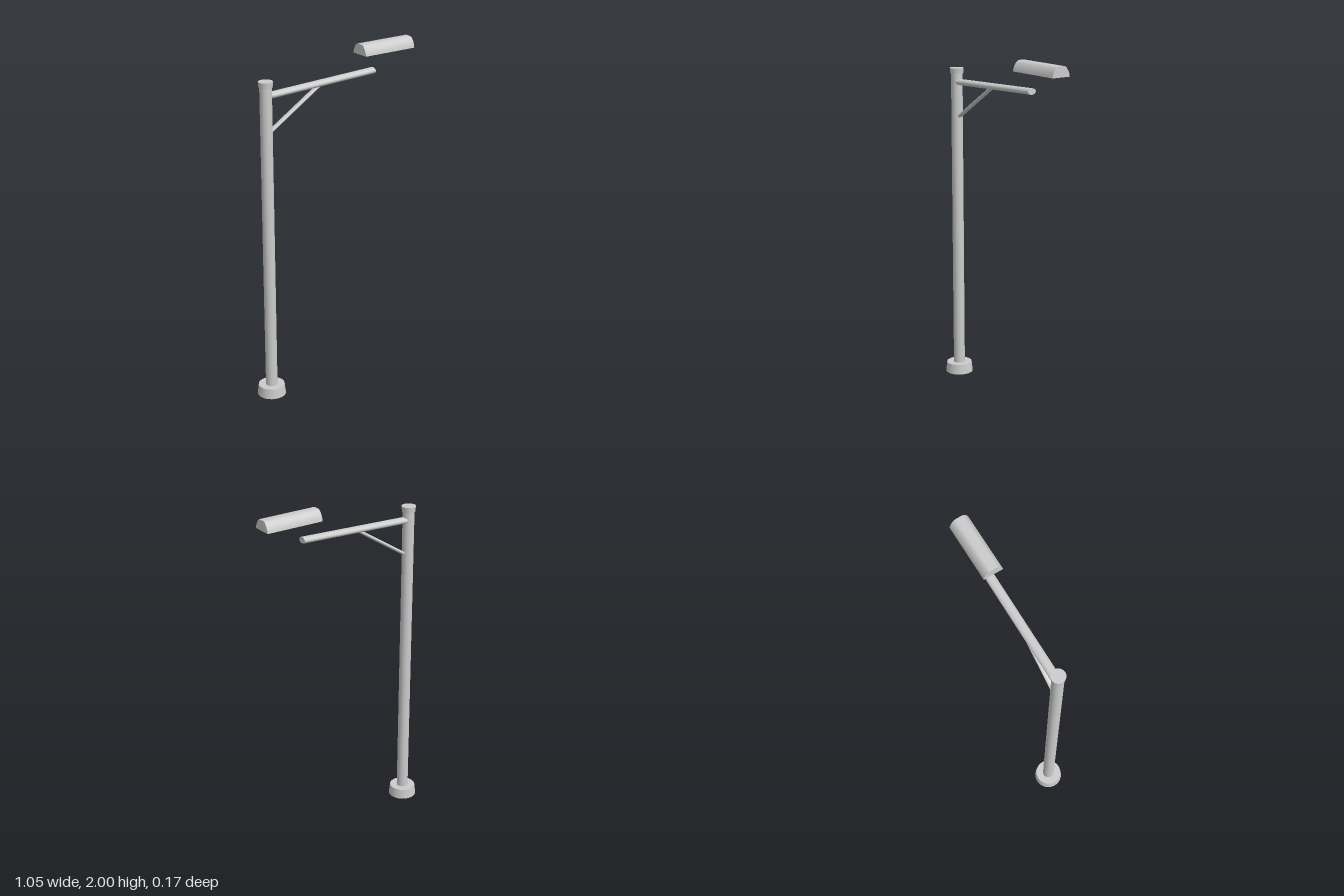
import * as THREE from 'three';
import { toCreasedNormals } from 'three/addons/utils/BufferGeometryUtils.js';

const POLE_X = -0.445;

export function createModel() {
  const group = new THREE.Group();
  const material = new THREE.MeshStandardMaterial({ color: 0xcccccc });

  const add = (name, geometry) => {
    const mesh = new THREE.Mesh(geometry, material);
    mesh.name = name;
    group.add(mesh);
    return mesh;
  };

  // Upright round section between two heights on the pole axis
  const upright = (name, rTop, rBottom, y0, y1) => {
    const mesh = add(name, new THREE.CylinderGeometry(rTop, rBottom, y1 - y0, 32));
    mesh.position.set(POLE_X, (y0 + y1) / 2, 0);
    return mesh;
  };

  // Oval bar in the x-y plane, wider in z than it is thick
  const bar = (name, x0, y0, x1, y1, thick, wide) => {
    const dx = x1 - x0, dy = y1 - y0;
    const geometry = new THREE.CylinderGeometry(1, 1, Math.hypot(dx, dy), 24);
    geometry.scale(thick, 1, wide);
    const mesh = add(name, geometry);
    mesh.position.set((x0 + x1) / 2, (y0 + y1) / 2, 0);
    mesh.rotation.z = Math.atan2(dy, dx) - Math.PI / 2;
  };

  upright('base', 0.076, 0.083, 0, 0.06);
  upright('pole', 0.034, 0.034, 0.05, 1.87);
  upright('cap', 0.041, 0.038, 1.857, 1.89);

  bar('arm', -0.42, 1.809, 0.276, 1.836, 0.018, 0.027);
  bar('brace', -0.42, 1.606, -0.09, 1.816, 0.0095, 0.016);

  // Lamp head: domed cross-section with a flat underside, run along x
  const half = [[0.058, 0], [0.055, 0.017], [0.047, 0.035], [0.036, 0.05], [0.026, 0.058], [0.016, 0.06]];
  const outline = [...half, ...half.map(([z, y]) => [-z, y]).reverse()];
  const shape = new THREE.Shape(outline.map(([z, y]) => new THREE.Vector2(z, y)));
  const dome = new THREE.ExtrudeGeometry(shape, { depth: 0.345, bevelEnabled: false });
  dome.rotateY(Math.PI / 2);
  add('lampHead', toCreasedNormals(dome, 0.8)).position.set(0.181, 1.94, 0);

  return group;
}
